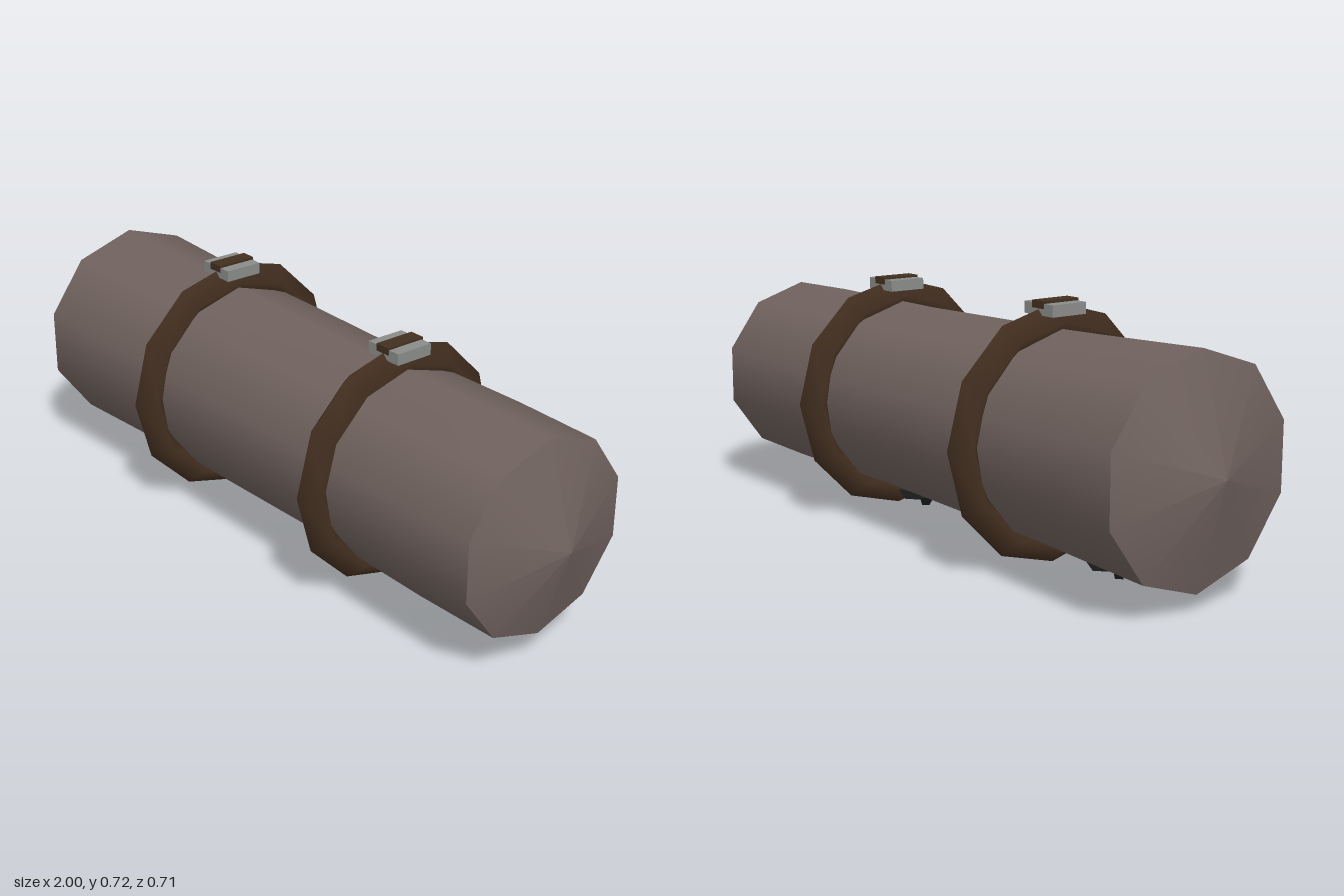
import * as THREE from 'three';

const CENTRE_Y = 0.358;

const mat = (name, color) => {
  const m = new THREE.MeshStandardMaterial({ color });
  m.name = name;
  return m;
};

export function createModel() {
  const cloth = mat('cloth', 0x70625e);
  const leather = mat('leather', 0x432f20);
  const metal = mat('metal', 0x8a8c8a);
  const iron = mat('dark iron', 0x1e1f1f);
  const model = new THREE.Group();

  const add = (name, geometry, material, x = 0, y = 0, z = 0) => {
    const mesh = new THREE.Mesh(geometry, material);
    mesh.name = name;
    mesh.position.set(x, y, z);
    model.add(mesh);
    return mesh;
  };

  // Ten-sided surface of revolution along x, from [x, radius] pairs
  const roll = (profile) => new THREE.LatheGeometry(
    profile.map(([x, r]) => new THREE.Vector2(r, x)), 10, Math.PI / 2).rotateZ(-Math.PI / 2);

  // Rolled body, slightly thicker at its right end, with shallow pointed ends
  add('rollBody', roll([[-0.91, 0.307], [-0.546, 0.292], [-0.36, 0.286], [-0.18, 0.284],
    [0.18, 0.277], [0.65, 0.28], [0.91, 0.275]]), cloth, 0, CENTRE_Y);
  add('rightEnd', roll([[-1, 0], [-0.91, 0.307]]), cloth, 0, CENTRE_Y);
  add('leftEnd', roll([[0.91, 0.275], [1, 0]]), cloth, 0, CENTRE_Y);

  // Straps with a buckle and a leather tongue on top
  [[-0.364, 0.306, 0.699, 0.722], [0.367, 0.295, 0.687, 0.709]].forEach(([x, radius, buckleY, top]) => {
    add('strap', new THREE.TorusGeometry(radius, 0.05, 4, 12).rotateY(Math.PI / 2), leather, x, CENTRE_Y);
    add('buckle', new THREE.BoxGeometry(0.115, 0.032, 0.114), metal, x, buckleY);
    add('tongue', new THREE.BoxGeometry(0.045, 0.02, 0.122), leather, x, top - 0.01);
  });

  // Crossed bars under the body, narrowing downwards
  const barGeometry = () => {
    const g = new THREE.BoxGeometry(0.176, 0.026, 0.028).toNonIndexed();
    const p = g.attributes.position;
    for (let i = 0; i < p.count; i++) {
      if (p.getY(i) < 0) p.setXYZ(i, p.getX(i) * 0.8, p.getY(i), p.getZ(i) * 0.75);
    }
    g.computeVertexNormals();
    return g;
  };
  [[-0.635, 0.043], [-0.215, 0.05], [0.205, 0.055], [0.625, 0.061]].forEach(([x, bottom]) => {
    for (const side of [-1, 1]) {
      add('crossBar', barGeometry(), iron, x, bottom + 0.013).rotation.y = side * Math.PI / 4;
    }
  });

  return model;
}
